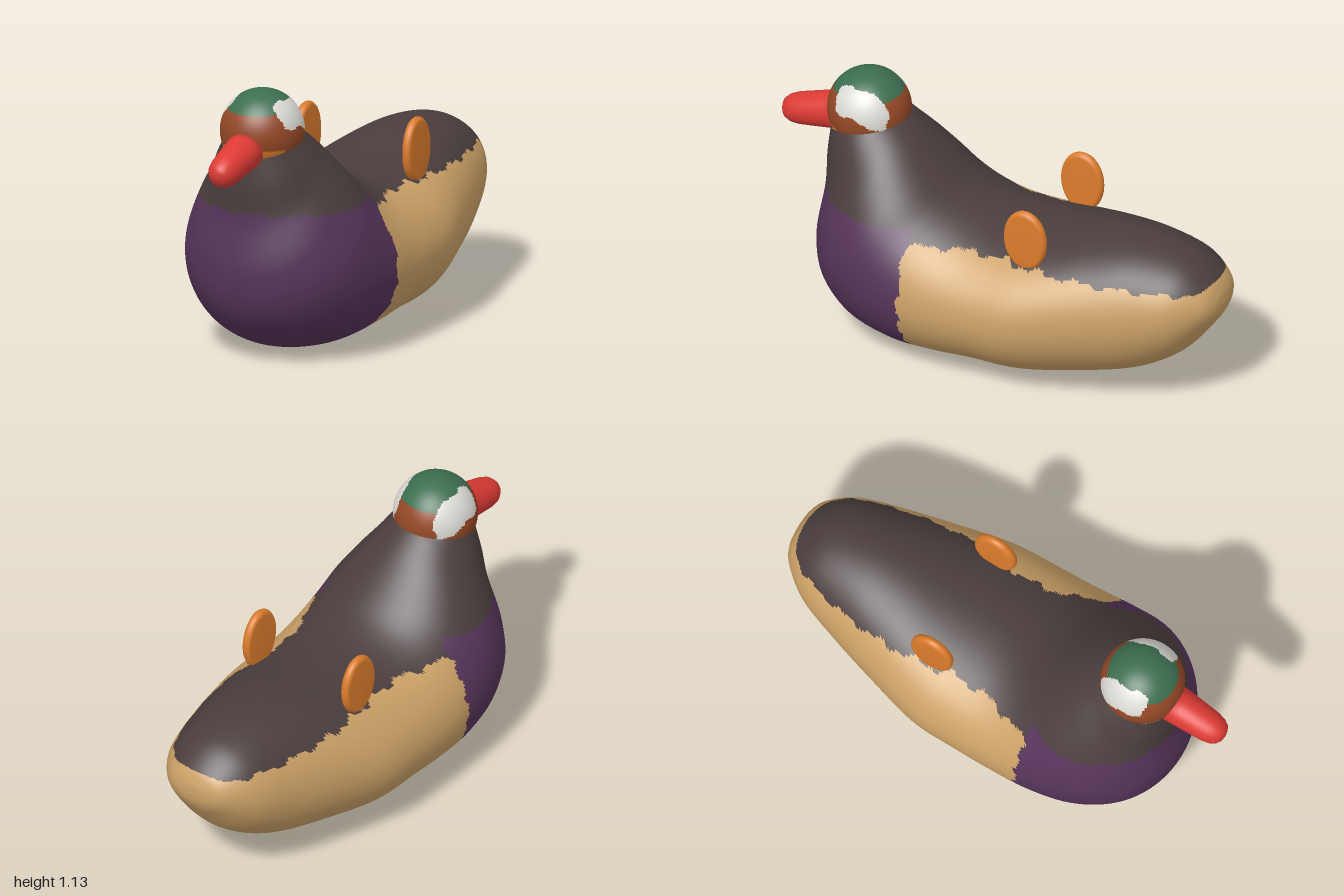
import * as THREE from 'three';

const mat = (name, color) => Object.assign(new THREE.MeshStandardMaterial({ color }), { name });

// Sort the triangles of an indexed geometry into material groups by their centre
function paint(geometry, count, rule) {
  const p = geometry.attributes.position, idx = geometry.index.array;
  const buckets = Array.from({ length: count }, () => []);
  for (let i = 0; i < idx.length; i += 3) {
    const tri = [idx[i], idx[i + 1], idx[i + 2]];
    const mean = (get) => tri.reduce((s, k) => s + p[get](k), 0) / 3;
    buckets[rule(mean('getX'), mean('getY'), mean('getZ'))].push(...tri);
  }
  geometry.setIndex(buckets.flat());
  geometry.clearGroups();
  let start = 0;
  buckets.forEach((b, m) => { geometry.addGroup(start, b.length, m); start += b.length; });
  return geometry;
}

// Small irregular offset for feathered colour borders
const wobble = (s) => 0.007 * Math.sin(s * 37) + 0.005 * Math.sin(s * 83 + 1);

// Body sections from tail to neck: [top z, top y, bottom z, bottom y, half width]
const SECTIONS = [
  [-1.0, 0.5, -1.0, 0.5, 0],
  [-0.99, 0.555, -0.99, 0.45, 0.085],
  [-0.95, 0.615, -0.95, 0.385, 0.155],
  [-0.84, 0.685, -0.84, 0.25, 0.238],
  [-0.65, 0.715, -0.67, 0.14, 0.3],
  [-0.45, 0.7, -0.45, 0.075, 0.362],
  [-0.25, 0.663, -0.2, 0.03, 0.42],
  [-0.1, 0.648, 0.02, 0.025, 0.43],
  [0.02, 0.655, 0.2, 0.01, 0.432],
  [0.12, 0.685, 0.4, 0.01, 0.432],
  [0.2, 0.735, 0.61, 0.07, 0.42],
  [0.28, 0.81, 0.75, 0.205, 0.385],
  [0.36, 0.89, 0.795, 0.38, 0.315],
  [0.425, 0.945, 0.77, 0.6, 0.238],
  [0.452, 0.965, 0.77, 0.75, 0.198],
  [0.46, 0.975, 0.762, 0.875, 0.163],
];

function bodyGeometry(rings, sides) {
  const spline = (f) => new THREE.CatmullRomCurve3(SECTIONS.map(f), false, 'catmullrom', 0.5);
  const top = spline((s) => new THREE.Vector3(0, s[1], s[0]));
  const bottom = spline((s) => new THREE.Vector3(s[4], s[3], s[2]));
  const pos = [], index = [];
  for (let i = 0; i <= rings; i++) {
    const a = top.getPoint(i / rings), b = bottom.getPoint(i / rings);
    for (let j = 0; j < sides; j++) {
      const ang = (j / sides) * Math.PI * 2, k = (1 - Math.cos(ang)) / 2;
      pos.push(b.x * Math.sin(ang), a.y + (b.y - a.y) * k, a.z + (b.z - a.z) * k);
      if (i === rings) continue;
      const j2 = (j + 1) % sides, r = i * sides, n = r + sides;
      index.push(r + j, n + j, r + j2, r + j2, n + j, n + j2);
    }
  }
  const g = new THREE.BufferGeometry();
  g.setAttribute('position', new THREE.Float32BufferAttribute(pos, 3));
  g.setIndex(index);
  g.computeVertexNormals();
  return g;
}

export function createModel() {
  const group = new THREE.Group();
  const dark = mat('darkBrown', 0x4a3d3d), purple = mat('plum', 0x56345a);
  const tan = mat('tan', 0xcaa066), green = mat('green', 0x3c6e50);
  const rust = mat('rust', 0x944826), white = mat('white', 0xdcdad4);
  const red = mat('red', 0xdc3a34), orange = mat('orange', 0xdc7c2c);
  const add = (name, geometry, material) => {
    const m = new THREE.Mesh(geometry, material);
    m.name = name;
    group.add(m);
    return m;
  };

  // Body and neck: dark back, plum chest, tan flanks and belly
  add('body', paint(bodyGeometry(200, 140), 3, (x, y, z) => {
    if (z > 0.265 + wobble(y * 1.3 + x)) return y > 0.645 + wobble(x) * 0.7 ? 0 : 1;
    return y > 0.588 + wobble(z) ? 0 : 2;
  }), [dark, purple, tan]);

  // Head: rust with green crown, white cheek patches and an orange collar at the front
  const headGeo = new THREE.SphereGeometry(0.171, 96, 72).translate(0, 0.959, 0.61);
  add('head', paint(headGeo, 4, (x, y, z) => {
    const w = wobble(y + z) * 0.6, ax = Math.abs(x);
    const cheekBottom = z > 0.61 ? 0.995 : 0.995 - (0.61 - z) * 0.45;
    if (ax > 0.09 && y > cheekBottom + w && y < 1.095 + w && z < 0.69 + w && z > 0.475 + w) return 2;
    if (y > 1.053 + w) return 1;
    if (y < 0.91 && z > 0.68) return 3;
    return 0;
  }), [rust, green, white, orange]);

  // Bill: tapered rod with a rounded tip, sloping down
  const billProfile = [[0, 0], [0.079, 0], [0.077, 0.06], [0.071, 0.14], [0.066, 0.2],
    [0.058, 0.235], [0.044, 0.258], [0.024, 0.27], [0, 0.274]].map(([r, h]) => new THREE.Vector2(r, h));
  const bill = add('bill', new THREE.LatheGeometry(billProfile, 40), red);
  bill.position.set(0, 0.912, 0.73);
  bill.rotation.x = Math.PI / 2 + 0.25;

  // Upright oval sail feathers on both sides of the back
  const discProfile = [[0, -0.02], [0.85, -0.02], [0.94, -0.016], [0.99, -0.007], [1, 0],
    [0.99, 0.007], [0.94, 0.016], [0.85, 0.02], [0, 0.02]].map(([r, h]) => new THREE.Vector2(r, h));
  for (const side of [1, -1]) {
    const sail = add(side > 0 ? 'leftSail' : 'rightSail',
      new THREE.LatheGeometry(discProfile, 48).scale(0.134, 1, 0.095).rotateZ(Math.PI / 2), orange);
    sail.position.set(side * 0.25, 0.708, -0.225);
  }
  return group;
}
